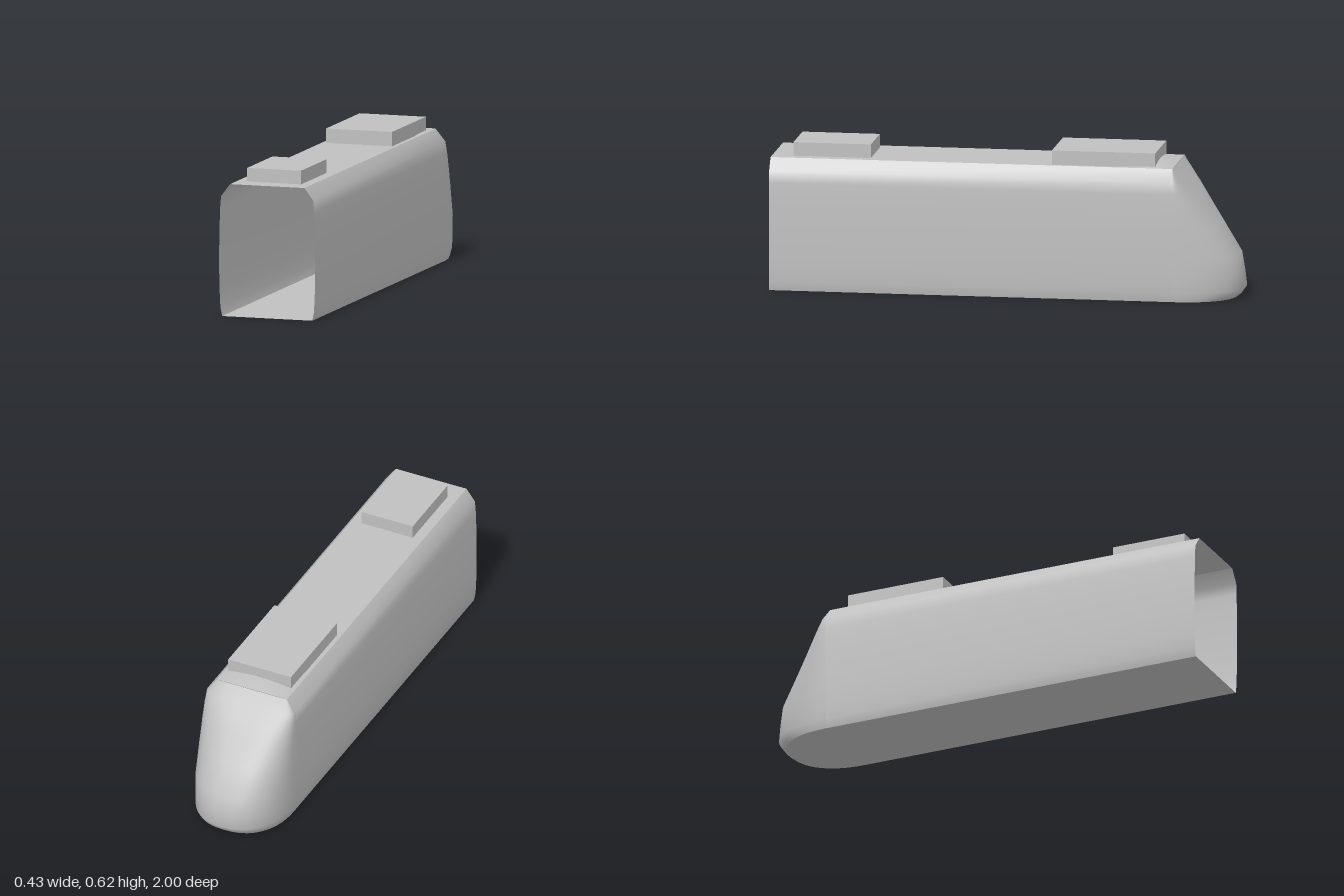
import * as THREE from 'three';

const FRONT = 1, SEAM = -0.71, TOP = 0.563;

// Rows from floor to roof: height, half width, nose tip z, squareness of the nose in plan
const ROWS = [
  [0, 0.2, -0.965, 2.3],
  [0.012, 0.203, -0.98, 2.3],
  [0.04, 0.208, -1.0, 2.3],
  [0.1, 0.211, -0.992, 2.35],
  [0.18, 0.213, -0.978, 2.4],
  [0.3, 0.213, -0.9, 2.6],
  [0.4, 0.211, -0.832, 2.9],
  [0.46, 0.209, -0.79, 3.1],
  [0.51, 0.205, -0.75, 3.3],
  [TOP, 0.165, -0.712, 3.5],
];

// Rounded plan curve of the nose at one height, from -x to +x
function noseCurve([y, w, tip, n], steps = 28) {
  const points = [];
  for (let i = 0; i <= steps; i++) {
    const a = Math.PI * (1 - i / steps);
    const c = Math.cos(a), s = Math.max(0, Math.sin(a));
    const x = w * Math.sign(c) * Math.abs(c) ** (2 / n);
    points.push([x, y, SEAM + (tip - SEAM) * s ** (2 / n)]);
  }
  return points;
}

// Smooth skin through rows of points
function loft(rows) {
  const cols = rows[0].length, index = [];
  for (let r = 0; r < rows.length - 1; r++) {
    for (let c = 0; c < cols - 1; c++) {
      const a = r * cols + c, b = a + 1, d = a + cols, e = d + 1;
      index.push(a, d, b, b, d, e);
    }
  }
  const g = new THREE.BufferGeometry();
  g.setAttribute('position', new THREE.Float32BufferAttribute(rows.flat(2), 3));
  g.setIndex(index);
  g.computeVertexNormals();
  return g;
}

export function createModel() {
  const group = new THREE.Group();
  const grey = new THREE.MeshStandardMaterial({ color: 0xc0c0c0, side: THREE.DoubleSide });
  grey.name = 'light grey';
  const add = (name, geometry) => {
    const mesh = new THREE.Mesh(geometry, grey);
    mesh.name = name;
    group.add(mesh);
    return mesh;
  };

  // Long side walls, curving in towards the roof
  for (const [name, s] of [['leftWall', 1], ['rightWall', -1]]) {
    const ends = s > 0 ? [SEAM, FRONT] : [FRONT, SEAM];
    add(name, loft(ROWS.map(([y, w]) => ends.map(z => [s * w, y, z]))));
  }

  // Raked, rounded nose at the back end
  add('nose', loft(ROWS.map(row => noseCurve(row))));

  // Flat roof
  const roof = new THREE.PlaneGeometry(0.33, FRONT - SEAM);
  roof.rotateX(-Math.PI / 2).translate(0, TOP, (FRONT + SEAM) / 2);
  add('roof', roof);

  // Floor following the plan of the nose
  const plan = [[-0.2, FRONT], ...noseCurve(ROWS[0]).map(p => [p[0], p[2]]), [0.2, FRONT]];
  const floor = new THREE.ShapeGeometry(new THREE.Shape(plan.map(p => new THREE.Vector2(...p))));
  floor.rotateX(Math.PI / 2);
  add('floor', floor);

  // Low swelling of the roof above the nose
  const hump = new THREE.PlaneGeometry(0.32, 0.23, 12, 8);
  hump.rotateX(-Math.PI / 2).translate(0, TOP + 0.001, -0.595);
  const p = hump.attributes.position;
  for (let i = 0; i < p.count; i++) {
    const across = 1 - (p.getX(i) / 0.16) ** 2;
    const along = Math.sin(Math.PI * (p.getZ(i) + 0.71) / 0.23);
    p.setY(i, p.getY(i) + 0.018 * Math.max(0, across * along));
  }
  hump.computeVertexNormals();
  add('roofSwelling', hump);

  // Boxes on the roof: half width, front z, back z, top y
  const boxes = [
    ['frontRoofBox', 0.12, 0.91, 0.58, 0.621],
    ['rearRoofBox', 0.147, -0.195, -0.635, 0.624],
  ];
  for (const [name, w, z1, z0, y] of boxes) {
    const box = add(name, new THREE.BoxGeometry(2 * w, y - TOP, z1 - z0));
    box.position.set(0, (y + TOP) / 2, (z0 + z1) / 2);
  }
  return group;
}
